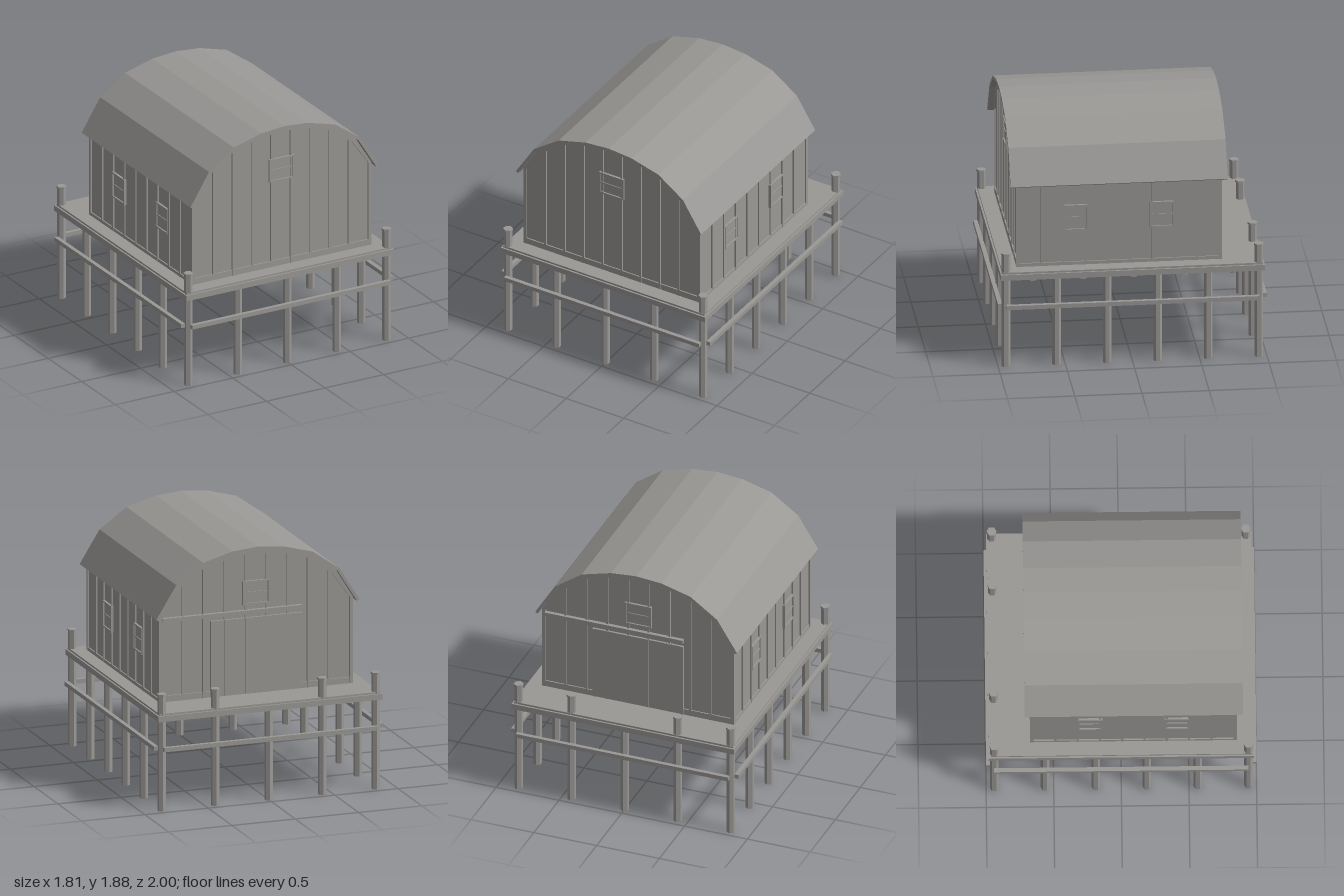
import * as THREE from 'three';

const timber = new THREE.MeshStandardMaterial({ color: 0x9a9895 });
timber.name = 'weathered grey';

// Half profiles of the curved roof, eave to ridge
const roofOuter = [[0.803, 1.4], [0.645, 1.652], [0.433, 1.803], [0.2, 1.867], [0, 1.884]];
const roofInner = [[0.783, 1.388], [0.63, 1.634], [0.425, 1.782], [0.197, 1.846], [0, 1.863]];
const trimTop = [[0.765, 1.415], ...roofInner.slice(1)];
const trimBottom = [[0.74, 1.415], [0.6, 1.612], [0.408, 1.748], [0.193, 1.809], [0, 1.825]];

const houseZ = 0.09; // middle of the house
const halfX = 0.765, halfZ = 0.765; // outer faces of the trim
const floorY = 0.75;
const recess = 0.012; // planks sit behind the trim

// Whole arch, from +x eave over the ridge to -x eave
const arch = (half) => [...half, ...half.slice(0, -1).reverse().map(([x, y]) => [-x, y])];

function heightAt(half, x) {
  const a = Math.abs(x);
  for (let i = 0; i < half.length - 1; i++) {
    const [x0, y0] = half[i], [x1, y1] = half[i + 1];
    if (a <= x0 && a >= x1) return y0 + (y1 - y0) * (x0 - a) / (x0 - x1);
  }
  return half[0][1];
}

export function createModel() {
  const model = new THREE.Group();
  model.name = 'boathouse';

  function add(name, geometry, parent = model) {
    const mesh = new THREE.Mesh(geometry, timber);
    mesh.name = name;
    parent.add(mesh);
    return mesh;
  }
  // Box given by its lower and upper limits
  function box(name, x0, x1, y0, y1, z0, z1, parent = model) {
    const mesh = add(name, new THREE.BoxGeometry(x1 - x0, y1 - y0, z1 - z0), parent);
    mesh.position.set((x0 + x1) / 2, (y0 + y1) / 2, (z0 + z1) / 2);
    return mesh;
  }
  function prism(name, points, z0, z1, parent = model) {
    const shape = new THREE.Shape(points.map(([x, y]) => new THREE.Vector2(x, y)));
    const geometry = new THREE.ExtrudeGeometry(shape, { depth: z1 - z0, bevelEnabled: false });
    return add(name, geometry.translate(0, 0, z0), parent);
  }
  const band = (upper, lower) => [...arch(upper), ...arch(lower).reverse()];

  // Hexagonal piles around the edge; some rise above the deck with a cap
  const pileX = [-0.845, -0.4225, 0, 0.4225, 0.845];
  const pileZ = [-0.94, -0.564, -0.188, 0.188, 0.564, 0.94];
  for (const x of pileX) for (const z of pileZ) {
    const corner = Math.abs(x) > 0.8 && Math.abs(z) > 0.9;
    if (Math.abs(x) < 0.8 && Math.abs(z) < 0.9) continue;
    const tall = corner || (z < -0.9 && x !== 0);
    const height = tall ? 0.885 : 0.735;
    add('pile', new THREE.CylinderGeometry(0.032, 0.032, height, 6).toNonIndexed())
      .position.set(x, height / 2, z);
    model.children.at(-1).geometry.computeVertexNormals();
    if (tall) {
      const cap = new THREE.CylinderGeometry(0.037, 0.037, 0.015, 6).toNonIndexed();
      cap.computeVertexNormals();
      add('pileCap', cap).position.set(x, 0.89, z);
    }
  }

  // Deck, edge beams and lower rails
  box('deck', -0.872, 0.872, 0.72, floorY, -0.968, 0.968);
  for (const s of [-1, 1]) {
    const span = (a, b) => (s > 0 ? [a, b] : [-b, -a]);
    box('deckBeam', -0.885, 0.885, 0.692, 0.736, ...span(0.945, 0.982));
    box('deckBeam', ...span(0.848, 0.885), 0.692, 0.736, -0.982, 0.982);
    box('lowerRail', -0.845, 0.845, 0.463, 0.495, ...span(0.968, 1));
    box('lowerRail', ...span(0.873, 0.905), 0.465, 0.497, -0.94, 0.94);
  }

  // House body and roof
  const wx = halfX - recess, wz = halfZ - recess;
  const eave = [[wx, 1.42], ...roofInner.slice(1)];
  prism('walls', [[-wx, floorY], [wx, floorY], ...arch(eave)], houseZ - wz, houseZ + wz);
  prism('roof', band(roofOuter, roofInner), -0.715, 0.9);

  // Corner posts
  for (const sx of [-1, 1]) for (const sz of [-1, 1]) {
    const cx = sx * (halfX - 0.0125), cz = houseZ + sz * (halfZ - 0.0125);
    box('cornerPost', cx - 0.0125, cx + 0.0125, floorY, 1.42, cz - 0.0125, cz + 0.0125);
  }

  // A wall face: local x runs along the wall, local z points out from the planks
  function face(name, x, z, turn) {
    const group = new THREE.Group();
    group.name = name;
    group.position.set(x, 0, z);
    group.rotation.y = turn;
    model.add(group);
    return group;
  }
  const battens = [];
  for (let i = -4; i < 4; i++) battens.push((i + 0.5) * 0.165);

  // Framed window with a glazing cross
  function window_(parent, cx, y0, y1, w) {
    const t = 0.012, d = 0.018, h = w / 2, my = (y0 + y1) / 2;
    box('windowPane', cx - h, cx + h, y0, y1, 0, 0.007, parent);
    for (const x of [cx - h, cx + h])
      box('windowJamb', x - t / 2, x + t / 2, y0, y1, 0, d, parent);
    for (const y of [y0, y1])
      box('windowRail', cx - h - t / 2, cx + h + t / 2, y - t / 2, y + t / 2, 0, d, parent);
    box('windowBar', cx - h, cx + h, my - t / 2, my + t / 2, 0, 0.013, parent);
  }

  // Gable ends
  for (const s of [1, -1]) {
    const gable = face(s > 0 ? 'frontGable' : 'backGable', 0, houseZ + s * wz, s > 0 ? 0 : Math.PI);
    prism('gableTrim', band(trimTop, trimBottom), 0, recess, gable);
    box('baseBoard', -0.74, 0.74, floorY, 0.797, 0, recess - 0.002, gable);
    for (const x of battens)
      box('batten', x - 0.008, x + 0.008, floorY, heightAt(trimBottom, x) + 0.01, 0, recess - 0.001, gable);
    window_(gable, 0, 1.44, 1.61, 0.2);
    if (s < 0) {
      // Sliding door on its track; local x is mirrored on the back
      box('door', -0.36, 0.36, floorY + 0.005, 1.335, 0, 0.017, gable);
      for (const x of [-0.35, 0.35])
        box('doorStile', x - 0.01, x + 0.01, floorY + 0.005, 1.335, 0, 0.022, gable);
      for (const x of battens.filter((b) => Math.abs(b) < 0.3))
        box('doorBatten', x - 0.006, x + 0.006, floorY + 0.005, 1.335, 0, 0.021, gable);
      box('doorTrack', -0.74, 0.36, 1.365, 1.395, 0, 0.03, gable);
    }
  }

  // Side walls, two windows each
  for (const s of [1, -1]) {
    const side = face(s > 0 ? 'leftWall' : 'rightWall', s * wx, houseZ, s * Math.PI / 2);
    for (const x of battens)
      box('batten', x - 0.008, x + 0.008, floorY, 1.42, 0, recess - 0.001, side);
    box('baseBoard', -0.74, 0.74, floorY, 0.775, 0, recess - 0.002, side);
    for (const x of [-0.32, 0.32]) window_(side, x, 1.03, 1.22, 0.17);
  }

  return model;
}
